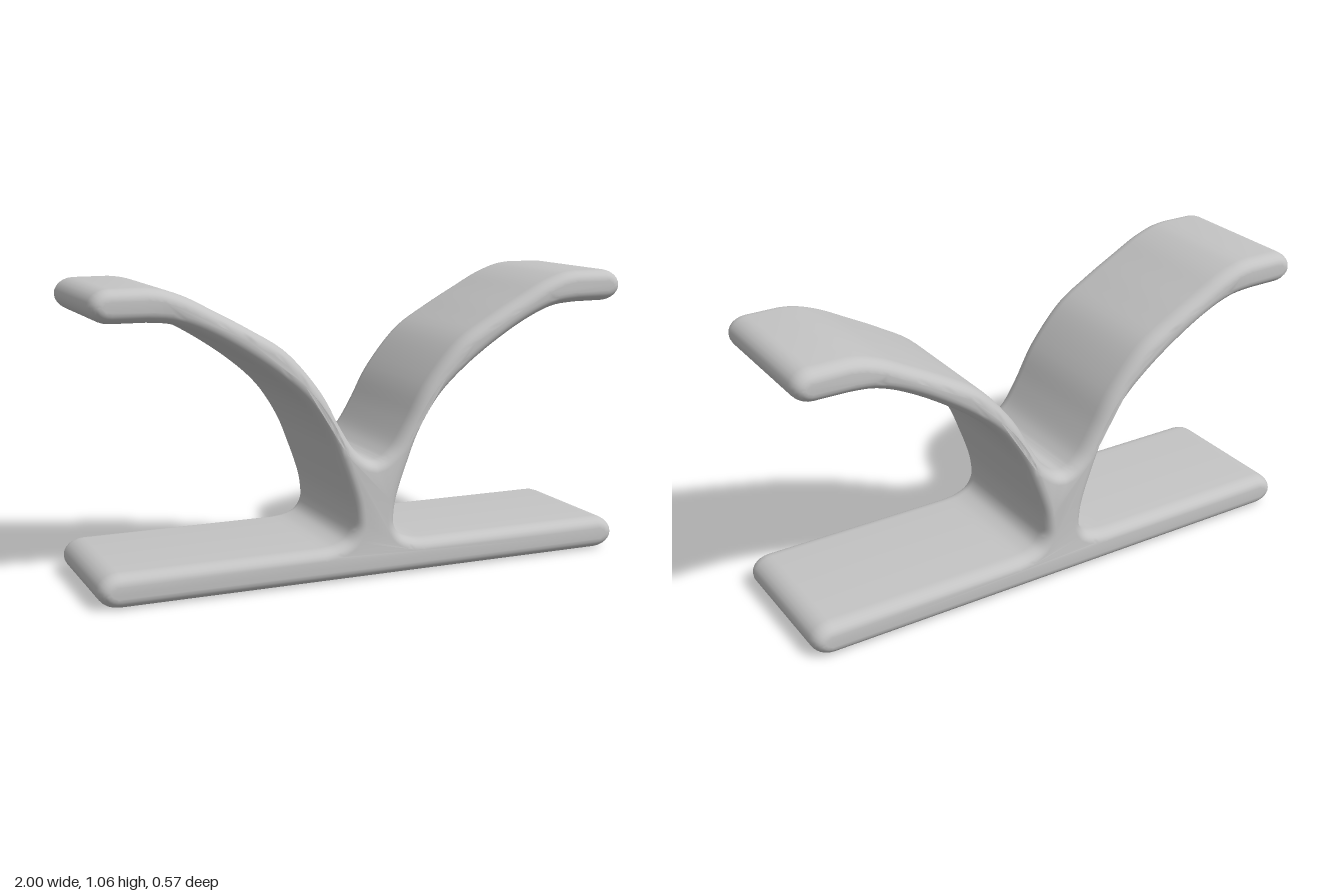
import * as THREE from 'three';
import { toCreasedNormals } from 'three/addons/utils/BufferGeometryUtils.js';

const grey = new THREE.MeshStandardMaterial({ color: 0xc4c4c4 });
grey.name = 'plain grey';

// smooth run of points through the given [x, y] pairs
const smooth = (pairs, n) =>
  new THREE.SplineCurve(pairs.map(([x, y]) => new THREE.Vector2(x, y))).getPoints(n);

// rounded strip end, from its lower to its upper edge
function roundedEnd(x, y, rx, ry) {
  const pts = [];
  for (let i = 0; i <= 12; i++) {
    const a = -Math.PI / 2 + (Math.PI * i) / 12;
    pts.push(new THREE.Vector2(x + rx * Math.cos(a), y + ry * Math.sin(a)));
  }
  return pts;
}

export function createModel() {
  const group = new THREE.Group();
  group.name = 'splitArmStand';

  // half outline: base, fillet into the stem, underside of the arm, tip, top of the arm, crotch
  const half = [
    ...roundedEnd(0.925, 0.06, 0.075, 0.06),
    ...smooth([[0.2, 0.12], [0.15, 0.126], [0.105, 0.145], [0.082, 0.18], [0.08, 0.22], [0.092, 0.29],
      [0.13, 0.4], [0.18, 0.52], [0.26, 0.64], [0.37, 0.74], [0.5, 0.83], [0.62, 0.897],
      [0.72, 0.935], [0.81, 0.945]], 60),
    ...roundedEnd(0.93, 1.003, 0.07, 0.057),
    ...smooth([[0.81, 1.06], [0.75, 1.051], [0.67, 1.022], [0.58, 0.975], [0.45, 0.904], [0.32, 0.82],
      [0.2, 0.68], [0.13, 0.555], [0.08, 0.475], [0.04, 0.436], [0.015, 0.423]], 45),
  ];
  const mirrored = half.map((p) => new THREE.Vector2(-p.x, p.y)).reverse();
  const outline = [new THREE.Vector2(0, 0), ...half, new THREE.Vector2(0, 0.42), ...mirrored];

  // extrude front to back with soft rounded edges
  const bevel = 0.055;
  const depth = 0.57 - 2 * bevel;
  const geometry = new THREE.ExtrudeGeometry(new THREE.Shape(outline), {
    depth, steps: 1, bevelEnabled: true, bevelThickness: bevel,
    bevelSize: 0.038, bevelOffset: -0.038, bevelSegments: 6,
  });
  geometry.translate(0, 0, -depth / 2);

  const body = new THREE.Mesh(toCreasedNormals(geometry, 1.0), grey);
  body.name = 'baseStemAndArms';
  group.add(body);
  return group;
}
